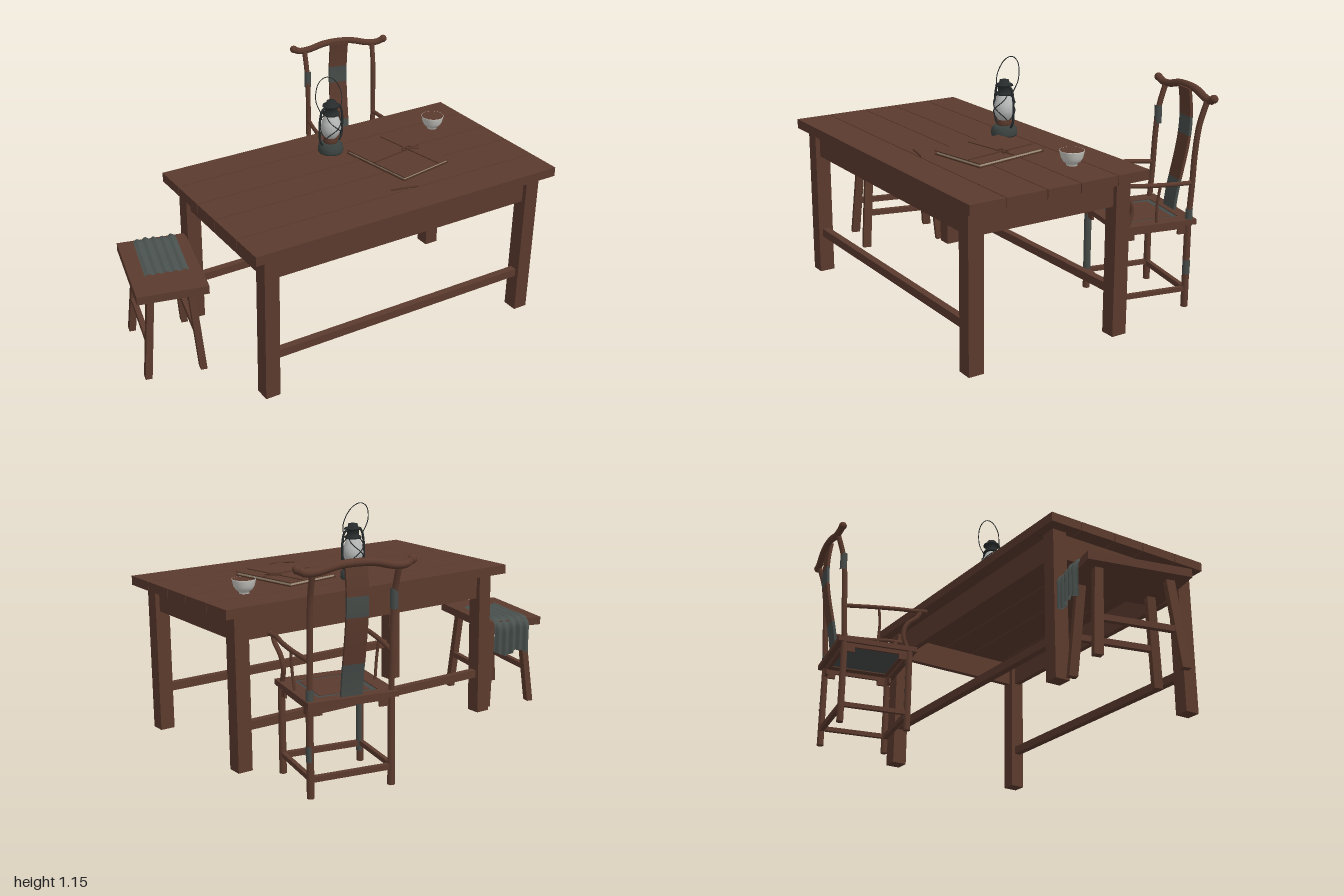
import * as THREE from 'three';

const material = (name, color, side = THREE.FrontSide) => {
  const m = new THREE.MeshStandardMaterial({ color, side });
  m.name = name;
  return m;
};
const V = (x, y, z) => new THREE.Vector3(x, y, z);

export function createModel() {
  const wood = material('wood', 0x5b3a2d);
  const gray = material('wornGrayGreen', 0x454b48);
  const cloth = material('cloth', 0x4b5350, THREE.DoubleSide);
  const metal = material('darkMetal', 0x272b2b);
  const tank = material('lanternTank', 0x39413f);
  const glass = material('glass', 0xb9bcba);
  const china = material('china', 0xc9c8c2);
  const leather = material('leather', 0x4f3226);
  const paper = material('paper', 0xa89880);

  const add = (parent, name, geo, mat, x = 0, y = 0, z = 0) => {
    const mesh = new THREE.Mesh(geo, mat);
    mesh.name = name;
    mesh.position.set(x, y, z);
    parent.add(mesh);
    return mesh;
  };
  const box = (parent, name, w, h, d, x, y, z, mat = wood) =>
    add(parent, name, new THREE.BoxGeometry(w, h, d), mat, x, y, z);
  const tube = (parent, name, pts, r, mat = wood, closed = false) =>
    add(parent, name, new THREE.TubeGeometry(new THREE.CatmullRomCurve3(pts, closed), 32, r, 8, closed), mat);
  const lathe = (parent, name, pts, mat, segments = 28) =>
    add(parent, name, new THREE.LatheGeometry(pts.map(p => new THREE.Vector2(...p)), segments), mat);
  // square bar whose bottom and top sit at different places
  const slantedLeg = (parent, name, w, d, h, bottom, top) => {
    const geo = new THREE.BoxGeometry(w, h, d).translate(0, h / 2, 0);
    const p = geo.attributes.position;
    for (let i = 0; i < p.count; i++) {
      const t = p.getY(i) / h;
      p.setX(i, p.getX(i) + bottom[0] + (top[0] - bottom[0]) * t);
      p.setZ(i, p.getZ(i) + bottom[1] + (top[1] - bottom[1]) * t);
    }
    geo.computeVertexNormals();
    return add(parent, name, geo, wood);
  };

  const model = new THREE.Group();
  const group = (name, x = 0, y = 0, z = 0, turn = 0) => {
    const g = new THREE.Group();
    g.name = name;
    g.position.set(x, y, z);
    g.rotation.y = turn;
    model.add(g);
    return g;
  };

  // Table: planks, legs, aprons and long stretchers
  const table = group('table');
  const seams = [-0.18, -0.01, 0.185, 0.355, 0.555, 0.73];
  for (let i = 0; i < 5; i++) {
    box(table, 'tablePlank', 1.63, 0.045, seams[i + 1] - seams[i] - 0.004,
      0.185, 0.7525, (seams[i] + seams[i + 1]) / 2);
  }
  for (const z of [-0.093, 0.657]) {
    for (const x of [-0.535, 0.897]) box(table, 'tableLeg', 0.073, 0.73, 0.075, x, 0.365, z);
    box(table, 'longApron', 1.36, 0.125, 0.03, 0.181, 0.6675, z);
    box(table, 'longStretcher', 1.36, 0.04, 0.035, 0.181, 0.205, z);
  }
  for (const x of [-0.535, 0.897]) box(table, 'sideApron', 0.03, 0.125, 0.675, x, 0.6675, 0.282);

  // Stool with splayed legs
  const stool = group('stool', -0.7825, 0, 0.1, -0.233);
  box(stool, 'stoolSeat', 0.33, 0.04, 0.5, 0, 0.445, 0);
  for (const sx of [-1, 1]) {
    for (const sz of [-1, 1]) {
      slantedLeg(stool, 'stoolLeg', 0.032, 0.042, 0.426, [sx * 0.13, sz * 0.205], [sx * 0.092, sz * 0.172]);
    }
    box(stool, 'stoolStretcher', 0.025, 0.028, 0.36, sx * 0.115, 0.183, 0);
  }

  // Cloth: a folded sheet that follows the seat and hangs over its back edge
  const drape = new THREE.CatmullRomCurve3([
    V(0, 0.468, 0.09), V(0, 0.468, -0.08), V(0, 0.468, -0.235),
    V(0, 0.452, -0.258), V(0, 0.38, -0.262), V(0, 0.295, -0.262)]);
  const sheet = new THREE.PlaneGeometry(1, 1, 48, 24);
  const sp = sheet.attributes.position;
  for (let i = 0; i < sp.count; i++) {
    const u = sp.getX(i), t = 0.5 - sp.getY(i);
    const c = drape.getPointAt(t);
    const wave = 0.5 + 0.5 * Math.cos(u * Math.PI * 10);
    const hang = THREE.MathUtils.smoothstep(t, 0.6, 0.75);
    sp.setXYZ(i, u * 0.205 + 0.006 + 0.01 * t,
      c.y + wave * 0.009 * (1 - hang) - hang * t * 0.012 * Math.sin(u * 9),
      c.z - wave * 0.022 * hang);
  }
  sheet.computeVertexNormals();
  add(stool, 'cloth', sheet, cloth);

  // Chair seat and base
  const chair = group('chair', 0.615, 0, -0.44, -0.21);
  for (const s of [-1, 1]) {
    box(chair, 'seatSideRail', 0.07, 0.025, 0.4, s * 0.175, 0.4225, 0);
    box(chair, 'seatCrossRail', 0.28, 0.025, 0.06, 0, 0.4225, s * 0.17);
  }
  box(chair, 'seatPanel', 0.28, 0.016, 0.28, 0, 0.423, 0, gray);
  box(chair, 'wornSeatCentre', 0.235, 0.003, 0.235, 0.005, 0.432, 0.005);
  for (const sx of [-1, 1]) {
    for (const sz of [-1, 1]) {
      add(chair, 'chairLeg', new THREE.CylinderGeometry(0.016, 0.017, 0.415, 12), wood, sx * 0.19, 0.2075, sz * 0.166);
      box(chair, 'sideBracket', 0.012, 0.03, 0.045, sx * 0.19, 0.38, sz * 0.135);
      box(chair, 'crossBracket', 0.045, 0.03, 0.012, sx * 0.155, 0.38, sz * 0.166);
    }
    box(chair, 'sideApron', 0.012, 0.022, 0.32, sx * 0.19, 0.402, 0);
    box(chair, 'crossApron', 0.37, 0.022, 0.012, 0, 0.402, sx * 0.166);
    box(chair, 'sideStretcher', 0.02, 0.022, 0.32, sx * 0.19, 0.09, 0);
    box(chair, 'crossStretcher', 0.37, 0.026, 0.022, 0, 0.085, sx * 0.166);

    // Arms, their posts and the back posts
    tube(chair, 'armrest', [V(sx * 0.19, 0.608, -0.178), V(sx * 0.207, 0.618, -0.02),
      V(sx * 0.21, 0.627, 0.1), V(sx * 0.205, 0.633, 0.17), V(sx * 0.212, 0.635, 0.235)], 0.011);
    add(chair, 'armTip', new THREE.SphereGeometry(0.013, 12, 8), wood, sx * 0.212, 0.635, 0.235);
    tube(chair, 'armPost', [V(sx * 0.19, 0.43, 0.152), V(sx * 0.192, 0.5, 0.13),
      V(sx * 0.198, 0.555, 0.145), V(sx * 0.205, 0.6, 0.195), V(sx * 0.207, 0.632, 0.212)], 0.012);
    tube(chair, 'armSpindle', [V(sx * 0.19, 0.43, 0), V(sx * 0.2, 0.53, 0.004), V(sx * 0.207, 0.62, -0.005)], 0.007);
    tube(chair, 'backPost', [V(sx * 0.19, 0.41, -0.166), V(sx * 0.19, 0.6, -0.178),
      V(sx * 0.19, 0.75, -0.185), V(sx * 0.192, 0.88, -0.2), V(sx * 0.195, 1.0, -0.236)], 0.014);
    add(chair, 'crestTip', new THREE.SphereGeometry(0.02, 14, 10), wood, sx * 0.258, 1.012, -0.228);
  }
  tube(chair, 'crestRail', [V(-0.258, 1.012, -0.228), V(-0.225, 0.996, -0.235), V(-0.17, 0.997, -0.238),
    V(-0.08, 1.018, -0.243), V(0, 1.023, -0.245), V(0.08, 1.018, -0.243),
    V(0.17, 0.997, -0.238), V(0.225, 0.996, -0.235), V(0.258, 1.012, -0.228)], 0.018);

  // Back splat: curved board in worn and bare lengths
  const splatZ = y => -0.205 - 0.035 * Math.sin((y - 0.62) / 0.36 * Math.PI / 1.4);
  for (const [y0, y1, mat] of [[0.43, 0.58, gray], [0.58, 0.79, wood], [0.79, 0.88, gray], [0.88, 1.015, wood]]) {
    const geo = new THREE.BoxGeometry(0.1, y1 - y0, 0.014, 1, 8, 1).translate(0, (y0 + y1) / 2, 0);
    const p = geo.attributes.position;
    for (let i = 0; i < p.count; i++) p.setZ(i, p.getZ(i) + splatZ(p.getY(i)));
    geo.computeVertexNormals();
    add(chair, 'backSplat', geo, mat);
  }

  // Worn patches on the chair posts and legs
  const patch = (x, y, z, r, h, start, length) => add(chair, 'wornPatch',
    new THREE.CylinderGeometry(r, r, h, 12, 1, true, start, length), gray, x, y, z);
  patch(-0.19, 0.215, 0.166, 0.0185, 0.33, 0, Math.PI);
  patch(0.19, 0.2, -0.166, 0.0185, 0.07, 0, Math.PI);
  patch(0.19, 0.46, -0.169, 0.0165, 0.05, 0, Math.PI * 2);
  patch(-0.19, 0.845, -0.196, 0.018, 0.09, 0, Math.PI * 2);

  // Lantern
  const lantern = group('lantern', 0.178, 0.775, 0.027, 0.1);
  lathe(lantern, 'fuelTank', [[0, 0], [0.06, 0], [0.063, 0.008], [0.06, 0.035], [0.045, 0.05], [0, 0.054]], tank);
  lathe(lantern, 'burner', [[0.034, 0.05], [0.036, 0.062], [0.026, 0.07], [0.026, 0.078], [0, 0.078]], leather);
  lathe(lantern, 'globe', [[0.027, 0.076], [0.042, 0.096], [0.05, 0.125], [0.046, 0.155], [0.034, 0.185], [0.028, 0.2]], glass);
  lathe(lantern, 'cap', [[0, 0.196], [0.04, 0.196], [0.042, 0.203], [0.03, 0.21], [0.028, 0.235],
    [0.043, 0.24], [0.04, 0.246], [0.025, 0.25], [0.022, 0.266], [0, 0.27]], metal);
  for (const s of [-1, 1]) {
    tube(lantern, 'sideTube', [V(s * 0.045, 0.04, 0), V(s * 0.063, 0.065, 0), V(s * 0.069, 0.12, 0),
      V(s * 0.066, 0.19, 0), V(s * 0.052, 0.23, 0), V(s * 0.025, 0.24, 0)], 0.0055, metal);
    // crossed guard wires wrapping the front and back of the globe
    for (const side of [0, Math.PI]) {
      const wire = [];
      for (let i = 0; i <= 8; i++) {
        const t = i / 8, a = side + s * (t - 0.5) * 2.6;
        const r = 0.034 + 0.021 * Math.sin(Math.PI * t);
        wire.push(V(r * Math.sin(a), 0.078 + t * 0.118, r * Math.cos(a)));
      }
      tube(lantern, 'guardWire', wire, 0.0025, metal);
    }
  }
  const handle = tube(lantern, 'handle', [V(-0.06, 0, 0), V(-0.078, 0.07, 0), V(-0.05, 0.142, 0), V(0, 0.166, 0),
    V(0.05, 0.142, 0), V(0.078, 0.07, 0), V(0.06, 0, 0)], 0.0022, metal);
  handle.position.y = 0.212;
  handle.rotation.x = -0.3;

  // Bowl: outer shell with a foot ring
  const bowl = group('bowl', 0.765, 0.775, 0.062);
  lathe(bowl, 'bowlShell', [[0.024, 0], [0.025, 0.009], [0.038, 0.018], [0.049, 0.036], [0.055, 0.064], [0.056, 0.068], [0.054, 0.068]], china, 32);

  // Leather-bound notebook with straps and a knot
  const book = group('notebook', 0.413, 0.775, 0.26, 0.178);
  box(book, 'backCover', 0.3, 0.005, 0.39, 0, 0.0025, 0, leather);
  box(book, 'pages', 0.285, 0.011, 0.375, 0, 0.0105, 0, paper);
  box(book, 'frontCover', 0.3, 0.005, 0.39, 0, 0.0185, 0, wood);
  box(book, 'longStrap', 0.006, 0.003, 0.39, 0.075, 0.0225, 0, leather);
  box(book, 'crossStrap', 0.3, 0.003, 0.006, 0, 0.0225, -0.005, leather);
  for (const s of [-1, 1]) {
    const loop = add(book, 'knotLoop', new THREE.TorusGeometry(0.014, 0.003, 6, 16), leather, 0.075 + s * 0.014, 0.024, -0.012);
    loop.rotation.x = Math.PI / 2;
    tube(book, 'knotEnd', [V(0.075, 0.024, -0.005), V(0.085 + s * 0.015, 0.024, 0.012), V(0.1 + s * 0.02, 0.023, 0.025)], 0.003, leather);
  }

  // Pen lying near the front edge
  tube(model, 'pen', [V(0.19, 0.779, 0.525), V(0.255, 0.78, 0.54), V(0.32, 0.779, 0.555)], 0.004, leather);

  return model;
}
